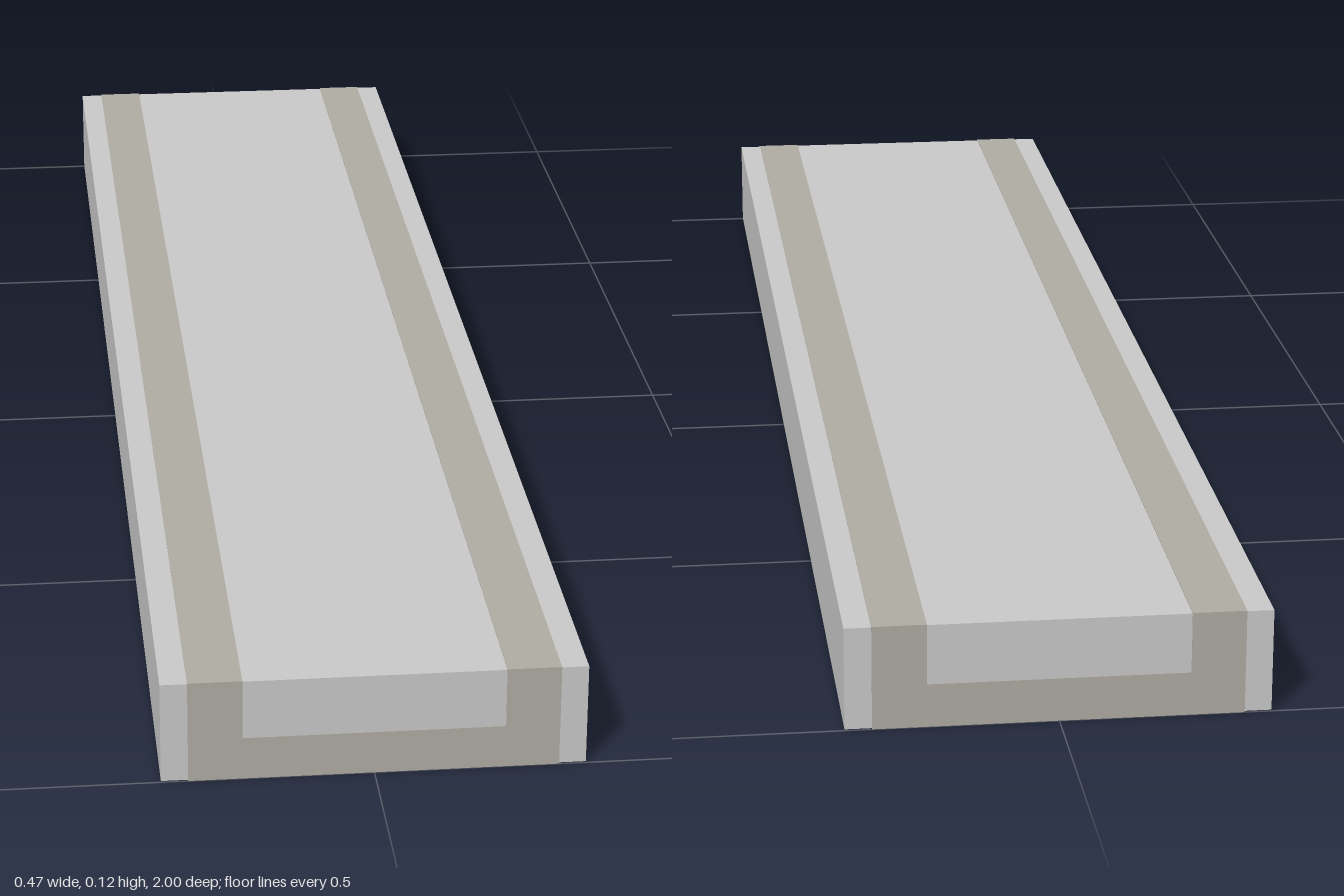
import * as THREE from 'three';

const LENGTH = 2, HEIGHT = 0.12, WIDTH = 0.47;
const PROUD = 0.001; // the channel sits just proud of the slab so faces never coincide

export function createModel() {
  const model = new THREE.Group();
  model.name = 'slabWithChannel';

  // Solid slab
  const slab = new THREE.Mesh(
    new THREE.BoxGeometry(WIDTH, HEIGHT - 2 * PROUD, LENGTH - 2 * PROUD),
    new THREE.MeshStandardMaterial({ color: 0xcccccc })
  );
  slab.name = 'slab';
  slab.position.y = HEIGHT / 2;
  model.add(slab);

  // U-shaped channel embedded along the whole length
  const outer = 0.205, inner = 0.145, floor = 0.05;
  const profile = new THREE.Shape([
    [-outer, 0], [outer, 0], [outer, HEIGHT], [inner, HEIGHT],
    [inner, floor], [-inner, floor], [-inner, HEIGHT], [-outer, HEIGHT],
  ].map(([x, y]) => new THREE.Vector2(x, y)));
  const channel = new THREE.Mesh(
    new THREE.ExtrudeGeometry(profile, { depth: LENGTH, bevelEnabled: false }),
    new THREE.MeshStandardMaterial({ color: 0xb1aea5 })
  );
  channel.name = 'channel';
  channel.position.z = -LENGTH / 2;
  model.add(channel);

  return model;
}
